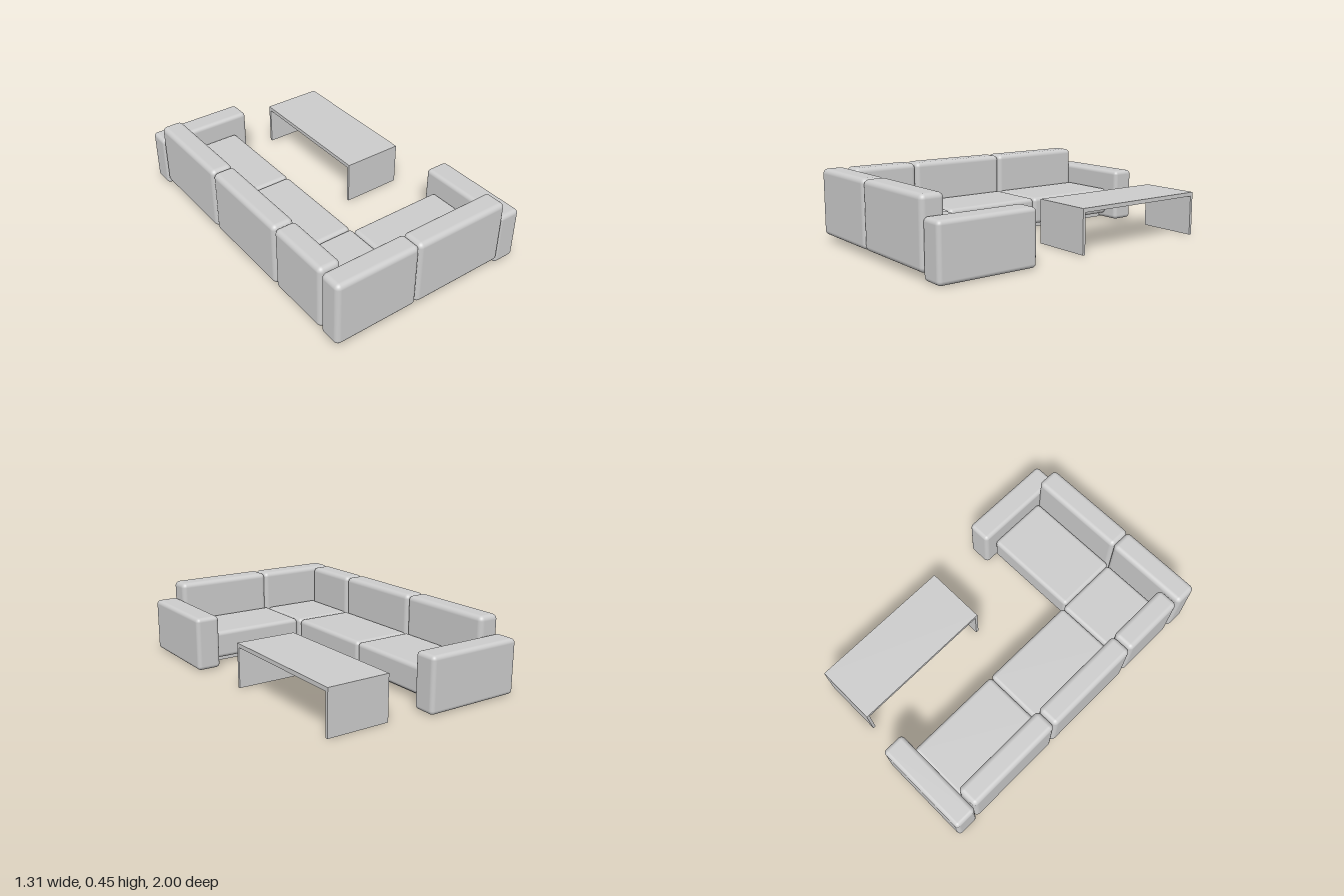
import * as THREE from 'three';
import { RoundedBoxGeometry } from 'three/addons/geometries/RoundedBoxGeometry.js';

const grey = new THREE.MeshStandardMaterial({ color: 0xcccccc });
grey.name = 'light grey';

// Box given by its extents; radius 0 gives sharp edges
function block(parent, name, [x0, x1], [y0, y1], [z0, z1], radius = 0) {
  const size = [x1 - x0, y1 - y0, z1 - z0];
  const geometry = radius
    ? new RoundedBoxGeometry(...size, 4, radius)
    : new THREE.BoxGeometry(...size);
  const mesh = new THREE.Mesh(geometry, grey);
  mesh.name = name;
  mesh.position.set((x0 + x1) / 2, (y0 + y1) / 2, (z0 + z1) / 2);
  parent.add(mesh);
}

export function createModel() {
  const model = new THREE.Group();
  model.name = 'cornerSofaAndTable';

  const sofa = new THREE.Group();
  sofa.name = 'sofa';
  model.add(sofa);

  const backY = [0.04, 0.447];
  const seatY = [0.037, 0.207];
  const armY = [0.003, 0.335];

  // Long side: three seats, each with a backrest
  const sections = [[-0.857, -0.217], [-0.215, 0.426], [0.429, 0.846]];
  for (const z of sections) {
    block(sofa, 'sideBackrest', [-0.65, -0.512], backY, z, 0.03);
    block(sofa, 'sideSeat', [-0.515, -0.125], seatY, z, 0.025);
  }

  // Short side: one seat in front of two backrests
  block(sofa, 'frontSeat', [-0.125, 0.503], seatY, [0.45, 0.853], 0.025);
  block(sofa, 'frontBackrest', [-0.655, -0.115], backY, [0.857, 1], 0.03);
  block(sofa, 'frontBackrest', [-0.118, 0.512], backY, [0.857, 1], 0.03);

  // Arms
  block(sofa, 'rearArm', [-0.652, -0.035], armY, [-1, -0.855], 0.025);
  block(sofa, 'leftArm', [0.502, 0.652], armY, [0.373, 0.99], 0.025);

  // Recessed plinth in an L
  const plinthY = [0, 0.045];
  block(sofa, 'sidePlinth', [-0.552, -0.205], plinthY, [-0.87, 0.52]);
  block(sofa, 'cornerPlinth', [-0.552, -0.205], plinthY, [0.52, 0.84]);
  block(sofa, 'frontPlinth', [-0.205, 0.51], plinthY, [0.52, 0.84]);

  // Low table: a top on two panel legs
  const table = new THREE.Group();
  table.name = 'table';
  model.add(table);
  const tableX = [0.2, 0.585];
  block(table, 'tableTop', tableX, [0.247, 0.272], [-0.925, -0.008]);
  block(table, 'tableLeg', tableX, [0, 0.247], [-0.925, -0.907]);
  block(table, 'tableLeg', tableX, [0, 0.247], [-0.026, -0.008]);

  return model;
}
